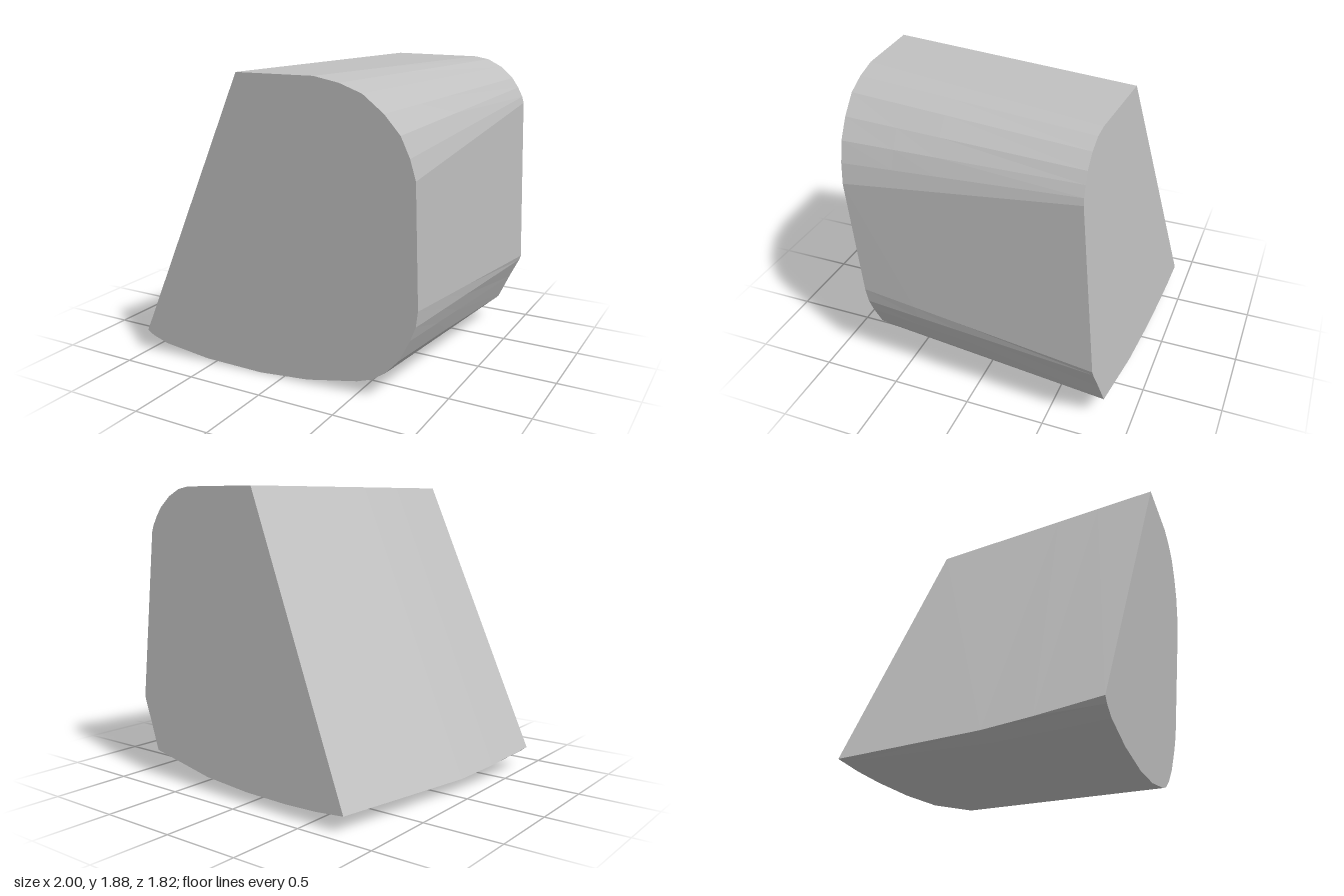
import * as THREE from 'three';

// Matching outline points, counter-clockwise from the lower left: [front x, front y, back x, back y]
const OUTLINE = [
  [-1, 0.14, -0.75, 0.1], [-0.96, 0.11, -0.7, 0.095], [-0.86, 0.07, -0.55, 0.08],
  [-0.55, 0.02, -0.32, 0.07], [-0.16, 0, 0, 0.07], [0.17, 0.02, 0.35, 0.09],
  [0.5, 0.08, 0.84, 0.17], [0.59, 0.11, 0.84, 0.17], [0.68, 0.17, 0.84, 0.17],
  [0.77, 0.27, 0.85, 0.19], [0.84, 0.41, 0.92, 0.34], [0.875, 0.5, 0.99, 0.48],
  [0.89, 0.6, 1, 0.51], [0.89, 1.35, 0.99, 1.59], [0.86, 1.47, 0.98, 1.63],
  [0.81, 1.59, 0.95, 1.69], [0.72, 1.7, 0.91, 1.75], [0.6, 1.8, 0.83, 1.82],
  [0.47, 1.85, 0.74, 1.865], [0.32, 1.88, 0.65, 1.88], [-0.16, 1.88, 0.085, 1.88],
];

// Tilted planes holding the two end faces
const frontZ = (x, y) => 0.729 - 0.065 * x + 0.091 * y;
const backZ = (x, y) => -0.887 + 0.045 * x + 0.087 * y;

// Cross-sections from front to back: [fraction, bulge of the lower left edge]
const SECTIONS = [[0, 0], [0.235, 0.03], [0.42, 0.042], [1, 0]];

function section([t, bulge]) {
  return OUTLINE.map(([fx, fy, bx, by], i) => {
    const p = new THREE.Vector3(fx, fy, frontZ(fx, fy));
    p.lerp(new THREE.Vector3(bx, by, backZ(bx, by)), t);
    if (i === 0) p.add(new THREE.Vector3(-0.43 * bulge, -0.9 * bulge, 0));
    return p;
  });
}

function makeMesh(name, triangles, material) {
  const geometry = new THREE.BufferGeometry().setFromPoints(triangles);
  geometry.computeVertexNormals();
  const mesh = new THREE.Mesh(geometry, material);
  mesh.name = name;
  return mesh;
}

// Flat end face fanned around its centre
function cap(loop, reversed) {
  const centre = new THREE.Vector3();
  loop.forEach((p) => centre.add(p));
  centre.divideScalar(loop.length);
  return loop.flatMap((p, i) => {
    const q = loop[(i + 1) % loop.length];
    return reversed ? [centre, q, p] : [centre, p, q];
  });
}

// Band joining two neighbouring cross-sections
function band(near, far) {
  return near.flatMap((a, i) => {
    const j = (i + 1) % near.length;
    return [a, far[i], near[j], near[j], far[i], far[j]];
  });
}

export function createModel() {
  const group = new THREE.Group();
  group.name = 'roundedBlock';
  const grey = new THREE.MeshStandardMaterial({ color: 0xc0c0c0 });
  grey.name = 'lightGrey';
  grey.flatShading = true;

  const loops = SECTIONS.map(section);
  const walls = loops.slice(1).flatMap((loop, i) => band(loops[i], loop));
  group.add(
    makeMesh('walls', walls, grey),
    makeMesh('frontFace', cap(loops[0], false), grey),
    makeMesh('backFace', cap(loops[loops.length - 1], true), grey),
  );
  return group;
}
